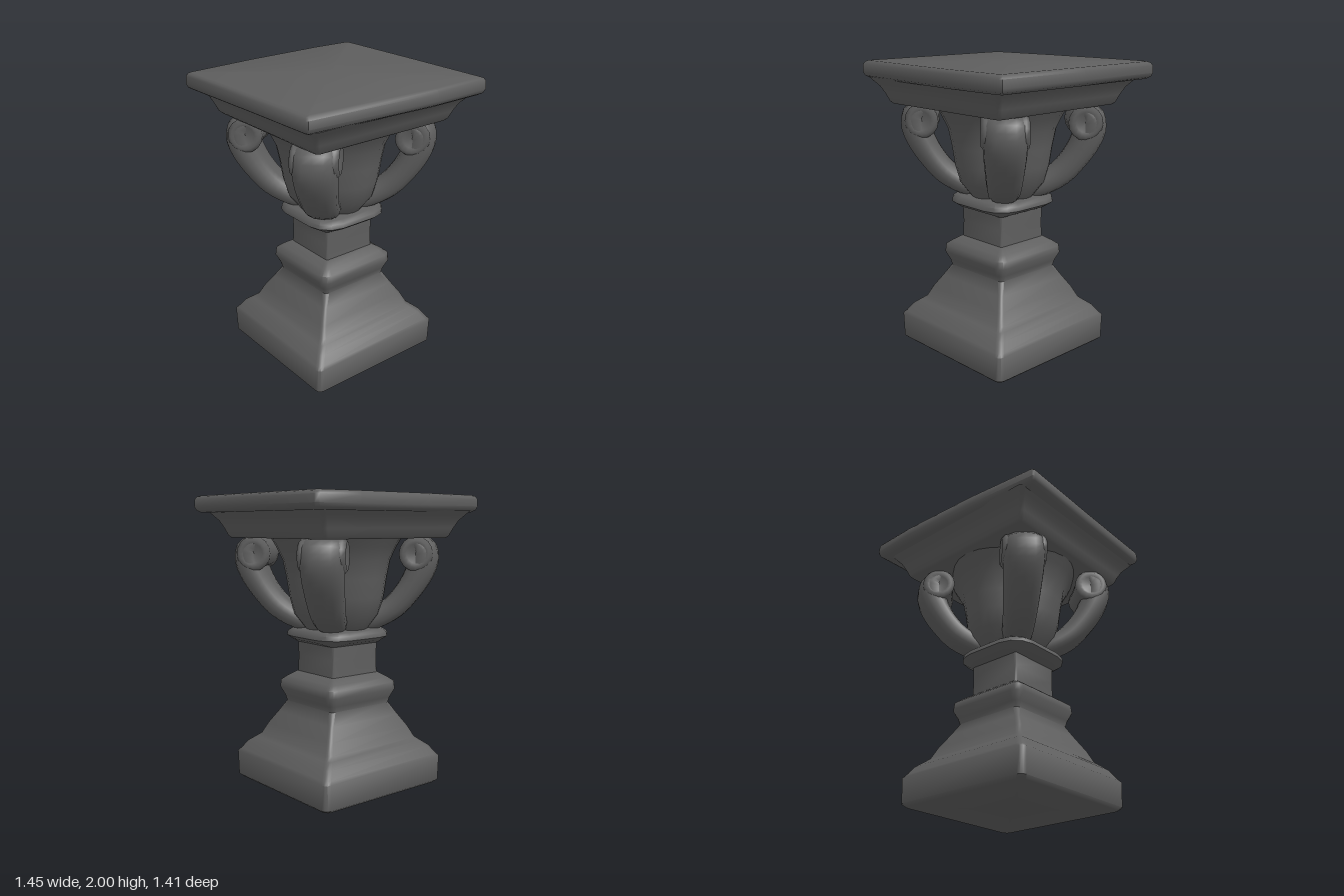
import * as THREE from 'three';
import { toCreasedNormals } from 'three/addons/utils/BufferGeometryUtils.js';

const stone = new THREE.MeshStandardMaterial({ color: 0x5e5e5e });
stone.name = 'dark grey stone';

// Skin a stack of equal-length rings and close both ends
function loft(rings, crease = 0.9) {
  const pos = [];
  const n = rings[0].length;
  const tri = (...pts) => pts.forEach((p) => pos.push(p.x, p.y, p.z));
  for (let i = 0; i < rings.length - 1; i++) {
    for (let j = 0; j < n; j++) {
      const k = (j + 1) % n;
      const [a, b, c, d] = [rings[i][j], rings[i][k], rings[i + 1][k], rings[i + 1][j]];
      tri(a, b, c);
      tri(a, c, d);
    }
  }
  const middle = (ring) => ring.reduce((s, p) => s.add(p), new THREE.Vector3()).divideScalar(n);
  const first = rings[0], last = rings[rings.length - 1];
  const m0 = middle(first), m1 = middle(last);
  for (let j = 0; j < n; j++) {
    const k = (j + 1) % n;
    tri(m0, first[k], first[j]);
    tri(m1, last[j], last[k]);
  }
  const geo = new THREE.BufferGeometry();
  geo.setAttribute('position', new THREE.Float32BufferAttribute(pos, 3));
  return toCreasedNormals(geo, crease);
}

// Square ring with corners eased by the given fraction of the half width
function squareRing(y, h, ease) {
  const ring = [];
  const e = h * ease;
  for (let q = 0; q < 4; q++) {
    for (let s = 0; s <= 3; s++) {
      const a = (s / 3) * Math.PI / 2;
      const p = new THREE.Vector3(h - e + e * Math.cos(a), y, -(h - e + e * Math.sin(a)));
      ring.push(p.applyAxisAngle(new THREE.Vector3(0, 1, 0), q * Math.PI / 2));
    }
  }
  return ring;
}

// Profile entries: height, half width, optional corner easing
const squareLoft = (profile, ease) => loft(profile.map(([y, h, own = ease]) => squareRing(y, h, own)));

// Worn, slightly skewed top slab
function slabGeometry() {
  const outline = [
    [0.72, 0.68], [0.725, 0], [0.725, -0.685], [0.705, -0.705], [0.4, -0.71], [-0.2, -0.68],
    [-0.715, -0.63], [-0.725, -0.615], [-0.705, 0], [-0.69, 0.635], [-0.68, 0.65], [0.27, 0.7], [0.7, 0.692],
  ];
  const layers = [[1.885, 0.95], [1.9, 0.985], [1.925, 1], [1.975, 0.995], [1.992, 0.98], [2, 0.955]];
  return loft(layers.map(([y, s]) => outline.map(([x, z]) => new THREE.Vector3(x * s, y, z * s))));
}

// Flaring bell with four soft lobes
function bellGeometry() {
  const profile = [[1.06, 0.2], [1.11, 0.235], [1.2, 0.305], [1.32, 0.34], [1.45, 0.36], [1.57, 0.385], [1.66, 0.43], [1.74, 0.48]];
  const n = 32;
  return loft(profile.map(([y, r]) => Array.from({ length: n }, (_, j) => {
    const a = (j / n) * Math.PI * 2;
    const f = r * (1 + 0.05 * Math.cos(4 * a));
    return new THREE.Vector3(f * Math.cos(a), y, -f * Math.sin(a));
  })));
}

// Curved bracket: radius, height, half thickness, half width
function armGeometry() {
  const keys = [
    [0.16, 1.12, 0.06, 0.09], [0.28, 1.165, 0.075, 0.11], [0.41, 1.245, 0.085, 0.12], [0.505, 1.35, 0.09, 0.13],
    [0.575, 1.46, 0.1, 0.14], [0.615, 1.56, 0.105, 0.145], [0.61, 1.635, 0.1, 0.145], [0.565, 1.68, 0.06, 0.14],
  ];
  const path = new THREE.CatmullRomCurve3(keys.map(([r, y]) => new THREE.Vector3(r, y, 0)));
  const steps = 21, n = 16;
  const soft = (v) => Math.sign(v) * Math.abs(v) ** 0.8;
  const rings = [];
  for (let i = 0; i <= steps; i++) {
    const u = i / steps;
    const f = u * (keys.length - 1);
    const k = Math.min(Math.floor(f), keys.length - 2);
    const mix = (c) => THREE.MathUtils.lerp(keys[k][c], keys[k + 1][c], f - k);
    const p = path.getPoint(u), t = path.getTangent(u);
    rings.push(Array.from({ length: n }, (_, j) => {
      const a = (j / n) * Math.PI * 2;
      const c = soft(Math.cos(a)) * mix(2);
      return new THREE.Vector3(p.x + t.y * c, p.y - t.x * c, -soft(Math.sin(a)) * mix(3));
    }));
  }
  return loft(rings);
}

// Scroll roll, dished at both ends
function scrollGeometry() {
  const half = [[0, 0.13], [0.065, 0.135], [0.09, 0.155], [0.118, 0.13], [0.11, 0.06]];
  const points = [
    ...half.map(([r, y]) => new THREE.Vector2(r, -y)),
    ...half.slice().reverse().map(([r, y]) => new THREE.Vector2(r, y)),
  ];
  return new THREE.LatheGeometry(points, 16).rotateX(Math.PI / 2);
}

export function createModel() {
  const model = new THREE.Group();
  model.name = 'pedestal';
  const add = (name, geometry, parent = model) => {
    const mesh = new THREE.Mesh(geometry, stone);
    mesh.name = name;
    parent.add(mesh);
    return mesh;
  };

  // Stepped foot, swelling band and shaft
  add('base', squareLoft([
    [0, 0.495], [0.02, 0.518], [0.19, 0.522], [0.21, 0.505], [0.265, 0.468], [0.3, 0.425],
    [0.325, 0.395], [0.4, 0.36], [0.49, 0.305], [0.57, 0.262, 0.12], [0.61, 0.275, 0.16], [0.67, 0.305, 0.2],
    [0.72, 0.3, 0.2], [0.75, 0.26, 0.15], [0.785, 0.205],
  ], 0.08));
  add('shaft', squareLoft([[0.77, 0.2], [0.9, 0.197], [1.03, 0.2]], 0.08));
  add('collar', squareLoft([[0.995, 0.205, 0.1], [1.02, 0.265], [1.045, 0.298], [1.075, 0.293], [1.095, 0.265], [1.105, 0.2]], 0.55));

  // Bell and four corner brackets
  add('bell', bellGeometry());
  const arms = new THREE.Group();
  arms.name = 'brackets';
  arms.scale.set(1.02, 1, 0.91);
  model.add(arms);
  const armGeo = armGeometry(), scrollGeo = scrollGeometry();
  for (let i = 0; i < 4; i++) {
    const corner = new THREE.Group();
    corner.name = 'cornerBracket';
    corner.rotation.y = Math.PI / 4 + i * Math.PI / 2;
    add('bracketArm', armGeo, corner);
    add('bracketScroll', scrollGeo, corner).position.set(0.565, 1.61, 0);
    arms.add(corner);
  }

  // Cornice and slab
  add('cornice', squareLoft([[1.715, 0.53], [1.73, 0.545], [1.78, 0.565], [1.83, 0.59], [1.865, 0.62], [1.895, 0.645]], 0.05));
  add('topSlab', slabGeometry());
  return model;
}
